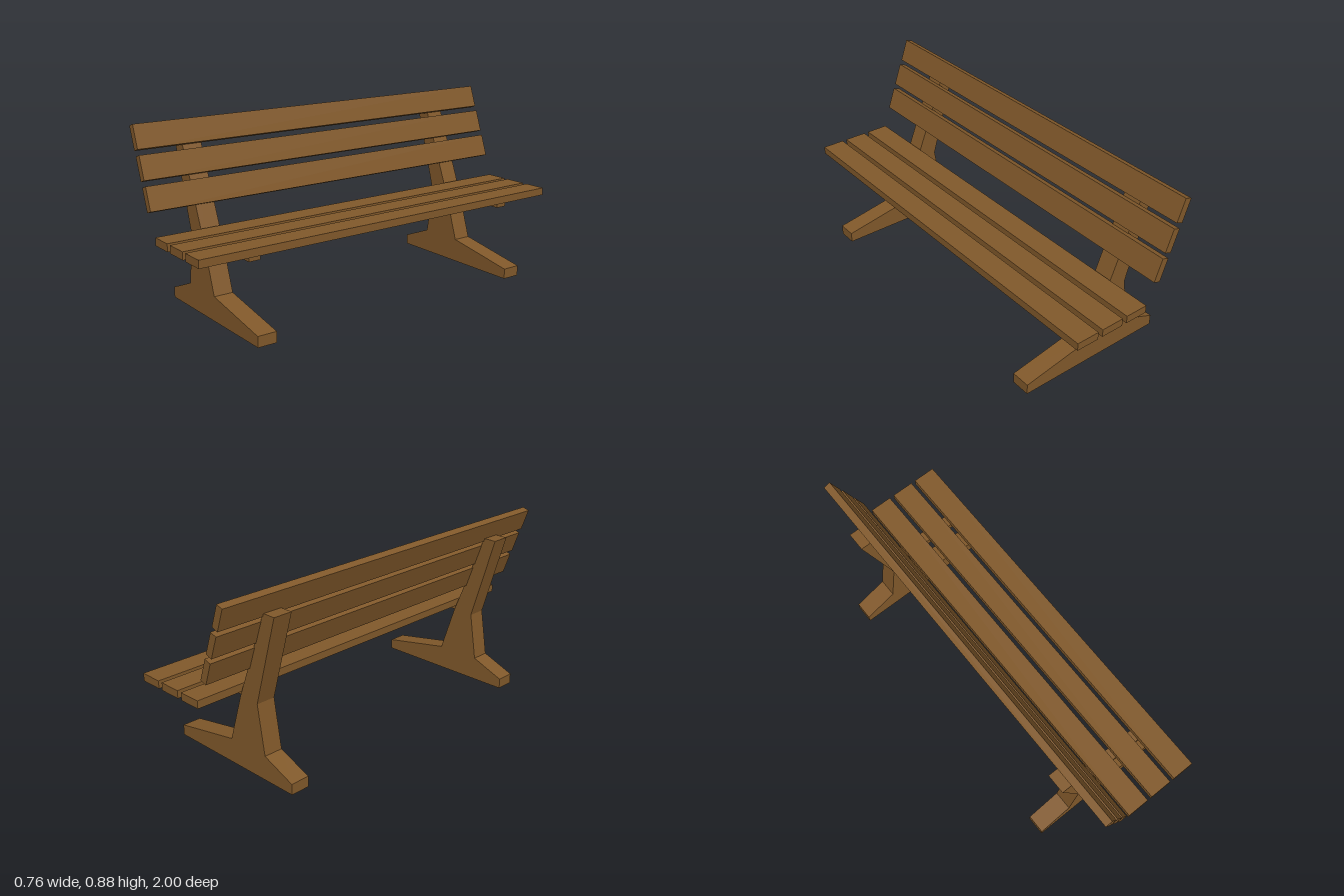
import * as THREE from 'three';

const wood = new THREE.MeshStandardMaterial({ color: 0x80582a, flatShading: true });
const hollowWood = wood.clone();
hollowWood.side = THREE.DoubleSide;

function box(name, size, position, tilt = 0) {
  const mesh = new THREE.Mesh(new THREE.BoxGeometry(...size), wood);
  mesh.name = name;
  mesh.position.set(...position);
  mesh.rotation.z = tilt;
  return mesh;
}

// Side profile of a leg: splayed foot, waist, then a leaning back post
const legProfile = [
  [-0.38, 0], [0.38, 0], [0.38, 0.051], [0.015, 0.118], [-0.063, 0.353],
  [-0.234, 0.78], [-0.302, 0.78], [-0.174, 0.353], [-0.212, 0.118], [-0.38, 0.051],
];

// Leg extruded along z, with its underside left open
function legGeometry(depth) {
  const shape = new THREE.Shape(legProfile.map(([x, y]) => new THREE.Vector2(x, y)));
  const solid = new THREE.ExtrudeGeometry(shape, { depth, bevelEnabled: false }).toNonIndexed();
  const p = solid.attributes.position;
  const kept = [];
  for (let i = 0; i < p.count; i += 3) {
    if ([0, 1, 2].every((k) => Math.abs(p.getY(i + k)) < 1e-5)) continue;
    for (let k = 0; k < 3; k++) kept.push(p.getX(i + k), p.getY(i + k), p.getZ(i + k) - depth / 2);
  }
  const geometry = new THREE.BufferGeometry();
  geometry.setAttribute('position', new THREE.Float32BufferAttribute(kept, 3));
  geometry.computeVertexNormals();
  return geometry;
}

export function createModel() {
  const bench = new THREE.Group();
  bench.name = 'bench';

  // Two leg frames, each with a bearer under the seat
  const legGeo = legGeometry(0.094);
  for (const side of [-1, 1]) {
    const frame = new THREE.Group();
    frame.name = side > 0 ? 'frontFrame' : 'rearFrame';
    const leg = new THREE.Mesh(legGeo, hollowWood);
    leg.name = 'leg';
    frame.add(leg, box('seatBearer', [0.392, 0.031, 0.056], [0.097, 0.3645, 0]));
    frame.position.z = side * 0.725;
    bench.add(frame);
  }

  // Flat seat slats
  [-0.012, 0.126, 0.263].forEach((x, i) =>
    bench.add(box(`seatSlat${i + 1}`, [0.113, 0.037, 2], [x, 0.3945, 0])));

  // Leaning backrest slats
  [[-0.137, 0.565], [-0.185, 0.694], [-0.234, 0.823]].forEach(([x, y], i) =>
    bench.add(box(`backSlat${i + 1}`, [0.036, 0.112, 2], [x, y, 0], 0.345)));

  return bench;
}
